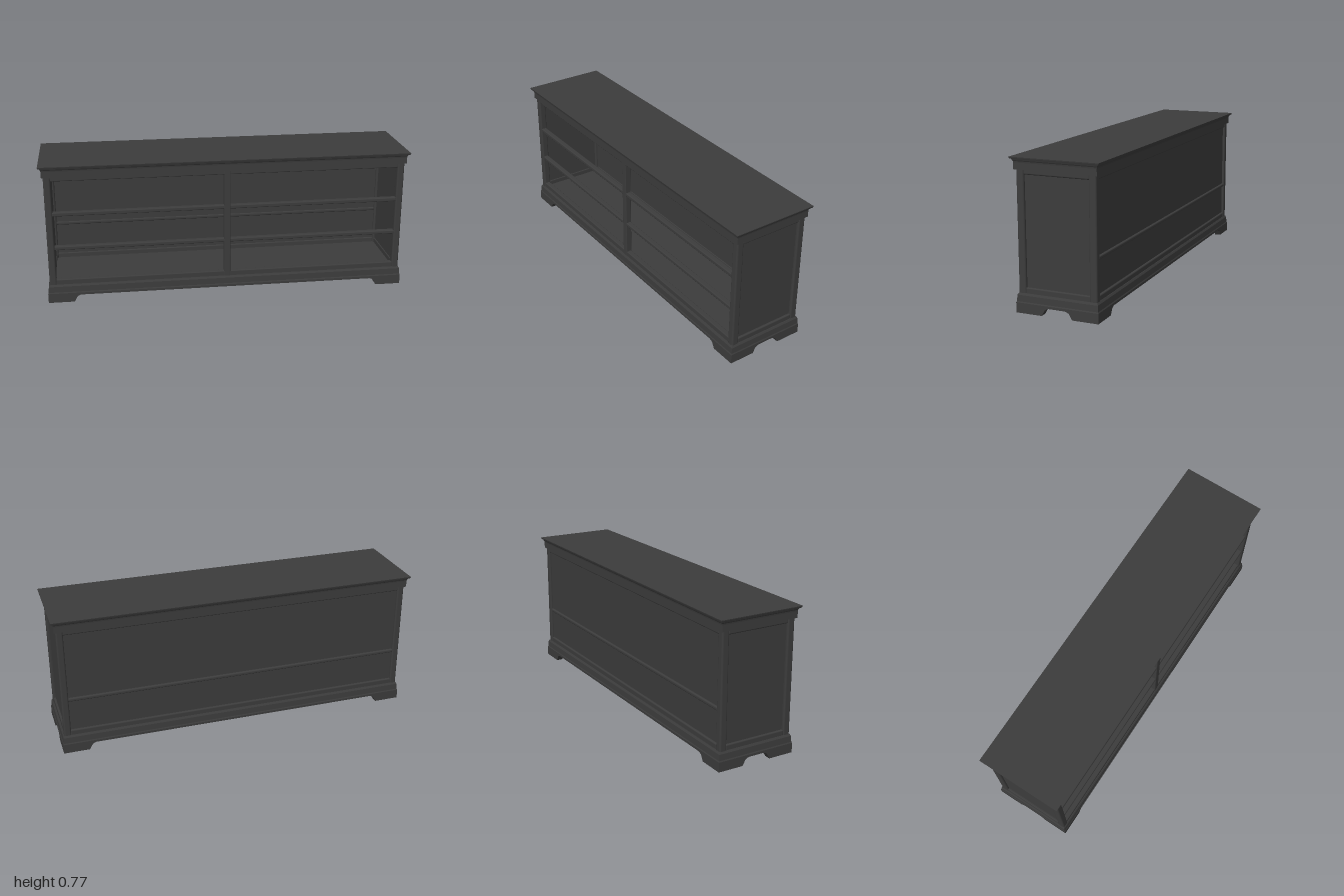
import * as THREE from 'three';
import { RoundedBoxGeometry } from 'three/addons/geometries/RoundedBoxGeometry.js';

const W = 1, D = 0.235;           // half width and half depth of the top
const BX = 0.976, BZ = 0.211;     // half width and half depth of the carcass
const Y0 = 0.1, Y1 = 0.711;       // bottom and top of the carcass

// Closed rectangular moulding; each profile point is [y, inset from the top's edge]
function moulding(profile) {
  const pos = [];
  const ring = ([y, d]) => [
    [-W + d, y, D - d], [W - d, y, D - d], [W - d, y, -D + d], [-W + d, y, -D + d]];
  const quad = (a, b, c, d) => pos.push(...a, ...b, ...c, ...a, ...c, ...d);
  const rings = profile.map(ring);
  for (let i = 0; i < rings.length - 1; i++) {
    const lo = rings[i], hi = rings[i + 1];
    for (let k = 0; k < 4; k++) {
      const n = (k + 1) % 4;
      quad(lo[k], lo[n], hi[n], hi[k]);
    }
  }
  const b = rings[0], t = rings[rings.length - 1];
  quad(b[3], b[2], b[1], b[0]);
  quad(t[0], t[1], t[2], t[3]);
  const geo = new THREE.BufferGeometry();
  geo.setAttribute('position', new THREE.Float32BufferAttribute(pos, 3));
  geo.computeVertexNormals();
  return geo;
}

export function createModel() {
  const root = new THREE.Group();
  root.name = 'dresser';
  const mat = new THREE.MeshStandardMaterial({ color: 0x3c3c3c });

  const add = (name, geo, parent = root) => {
    const m = new THREE.Mesh(geo, mat);
    m.name = name;
    parent.add(m);
    return m;
  };
  // Box given by its limits on each axis, optionally with rounded edges
  const box = (name, x0, x1, y0, y1, z0, z1, r = 0) => {
    const size = [x1 - x0, y1 - y0, z1 - z0];
    const geo = r ? new RoundedBoxGeometry(...size, 3, r) : new THREE.BoxGeometry(...size);
    geo.translate((x0 + x1) / 2, (y0 + y1) / 2, (z0 + z1) / 2);
    return add(name, geo);
  };

  // Top with stepped cornice, and plinth with a sloped upper edge
  add('topCornice', moulding([
    [Y1, 0.016], [0.745, 0.016], [0.752, 0.015], [0.757, 0.012], [0.763, 0.01],
    [0.764, 0.003], [0.769, 0.001], [0.774, 0]]));
  add('plinth', moulding([
    [0.04, 0.013], [0.052, 0.013], [0.058, 0.016], [0.09, 0.018], [Y0, 0.024]]));

  // Bracket feet: two shaped arms meeting at each corner
  const thick = 0.035;
  const arm = new THREE.Shape([[0, 0], [-0.14, 0], [-0.157, 0.03], [-0.166, 0.036], [-0.178, 0.04], [0, 0.04]]
    .map(p => new THREE.Vector2(...p)));
  const armX = new THREE.ExtrudeGeometry(arm, { depth: thick, bevelEnabled: false }).translate(0, 0, -thick);
  const armZ = armX.clone().rotateY(-Math.PI / 2).translate(-thick, 0, 0);
  [[1, 1], [1, -1], [-1, -1], [-1, 1]].forEach(([sx, sz], k) => {
    const foot = new THREE.Group();
    foot.name = 'bracketFoot';
    foot.position.set(sx * (W - 0.013), 0, sz * (D - 0.013));
    foot.rotation.y = k * Math.PI / 2;
    add('footArm', armX, foot);
    add('footArm', armZ, foot);
    root.add(foot);
  });

  // Rounded corner posts, run slightly into the plinth and cornice
  for (const sx of [-1, 1]) for (const sz of [-1, 1]) {
    const x = sx * (BX - 0.019), z = sz * (BZ - 0.02);
    box('cornerPost', x - 0.019, x + 0.019, Y0 - 0.01, Y1 + 0.01, z - 0.02, z + 0.02, 0.009);
  }

  // Side panels, each framed by a top and a bottom rail
  for (const s of [-1, 1]) {
    const side = (name, d0, d1, y0, y1, r) => {
      const a = s * (BX - d0), b = s * (BX - d1);
      box(name, Math.min(a, b), Math.max(a, b), y0, y1, -0.175, 0.175, r);
    };
    side('sidePanel', 0.014, 0.026, Y0, Y1);
    side('sideTopRail', 0.003, 0.03, 0.687, Y1 + 0.01, 0.008);
    side('sideBottomRail', 0.003, 0.03, Y0 - 0.01, 0.128, 0.006);
  }

  // Back panel with top, middle and bottom rails
  const inner = BX - 0.034;
  box('backPanel', -inner, inner, Y0, Y1, -BZ + 0.014, -BZ + 0.026);
  for (const [y0, y1] of [[0.687, Y1 + 0.01], [0.3, 0.32], [Y0 - 0.01, 0.128]])
    box('backRail', -inner, inner, y0, y1, -BZ + 0.003, -BZ + 0.03, 0.007);

  // Open front: rails and centre post forming six drawer openings
  for (const [y0, y1] of [[0.687, Y1 + 0.01], [0.492, 0.513], [0.3, 0.32], [Y0 - 0.01, 0.128]])
    box('frontRail', -inner, inner, y0, y1, BZ - 0.034, BZ - 0.004, 0.005);
  box('centrePost', -0.02, 0.014, Y0 - 0.01, Y1 + 0.01, BZ - 0.036, BZ - 0.002, 0.004);

  return root;
}
